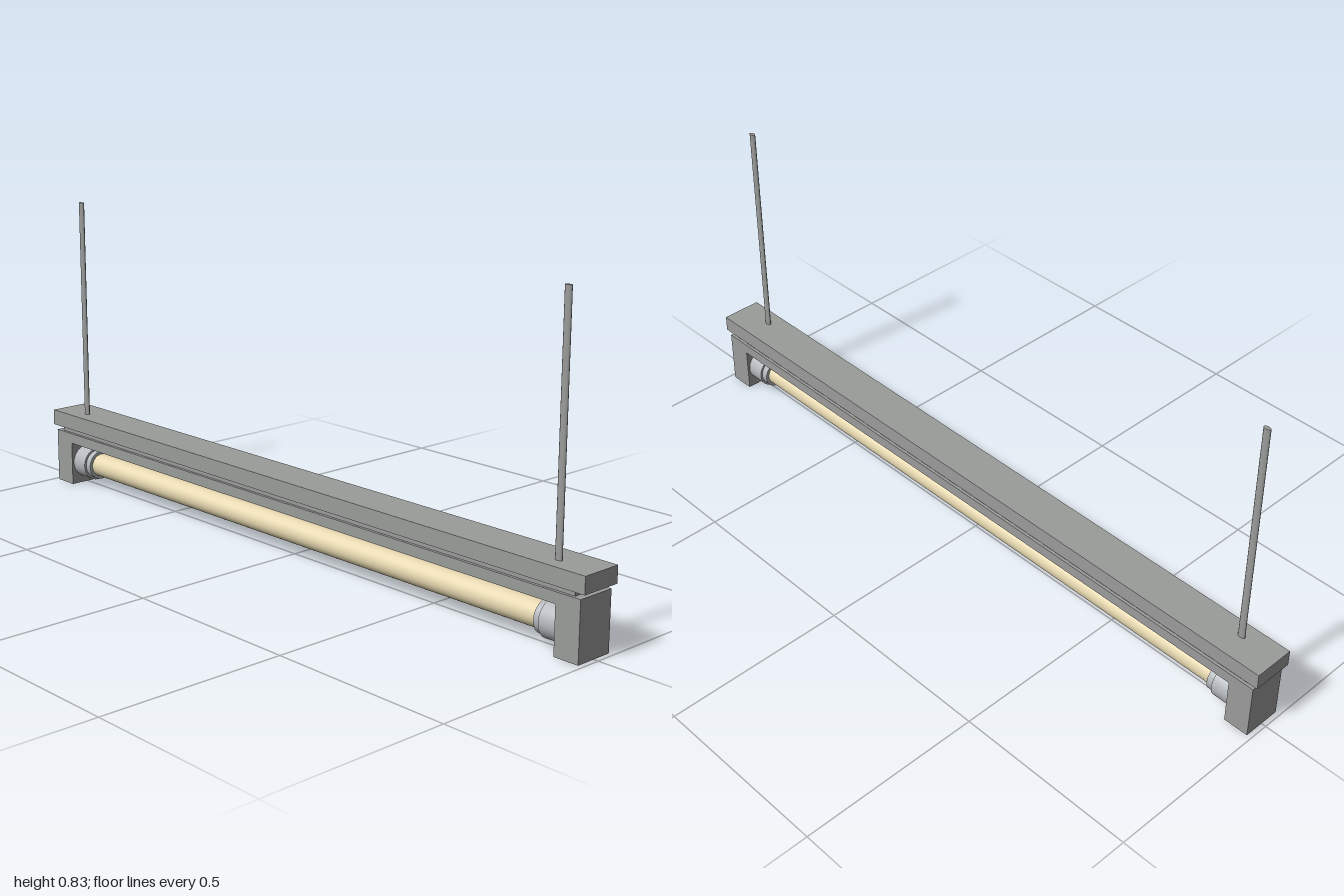
import * as THREE from 'three';

const mat = (color) => new THREE.MeshStandardMaterial({ color });

export function createModel() {
  const model = new THREE.Group();
  model.name = 'hangingTubeLight';
  const bodyMat = mat(0x9a9c9a);
  const socketMat = mat(0xb4b8bc);
  const tubeMat = mat(0xe6d8b0);

  const add = (name, geometry, material, x = 0, y = 0, z = 0) => {
    const mesh = new THREE.Mesh(geometry, material);
    mesh.name = name;
    mesh.position.set(x, y, z);
    model.add(mesh);
    return mesh;
  };

  // Top rail and the recessed spacer below it
  add('topRail', new THREE.BoxGeometry(2, 0.044, 0.114), bodyMat, 0, 0.19, 0);
  add('spacer', new THREE.BoxGeometry(1.93, 0.016, 0.092), bodyMat, 0, 0.161, 0);

  // Housing: a beam with a downturned block at each end
  const outline = [
    [-0.987, 0], [-0.917, 0], [-0.917, 0.125], [0.917, 0.125],
    [0.917, 0], [0.987, 0], [0.987, 0.154], [-0.987, 0.154],
  ];
  const shape = new THREE.Shape(outline.map(([x, y]) => new THREE.Vector2(x, y)));
  const housing = new THREE.ExtrudeGeometry(shape, { depth: 0.108, bevelEnabled: false });
  add('housing', housing, bodyMat, 0, 0, -0.054);

  // Lamp tube along x
  const axisY = 0.064;
  const tube = new THREE.CylinderGeometry(0.033, 0.033, 1.72, 32);
  add('lampTube', tube.rotateZ(Math.PI / 2), tubeMat, 0, axisY, 0);

  for (const side of [-1, 1]) {
    // Stepped socket: wide cup at the block, narrower collar at the tube
    const cup = new THREE.CylinderGeometry(0.048, 0.048, 0.056, 32).rotateZ(Math.PI / 2);
    add('socketCup', cup, socketMat, side * 0.892, axisY, 0);
    const collar = new THREE.CylinderGeometry(0.042, 0.042, 0.022, 32).rotateZ(Math.PI / 2);
    add('socketCollar', collar, socketMat, side * 0.856, axisY, 0);

    // Oval hanging rod
    const rod = new THREE.CylinderGeometry(0.01, 0.01, 0.63, 16).scale(1, 1, 0.56);
    add('hangingRod', rod, bodyMat, side * 0.89, 0.52, 0.014);
  }
  return model;
}
